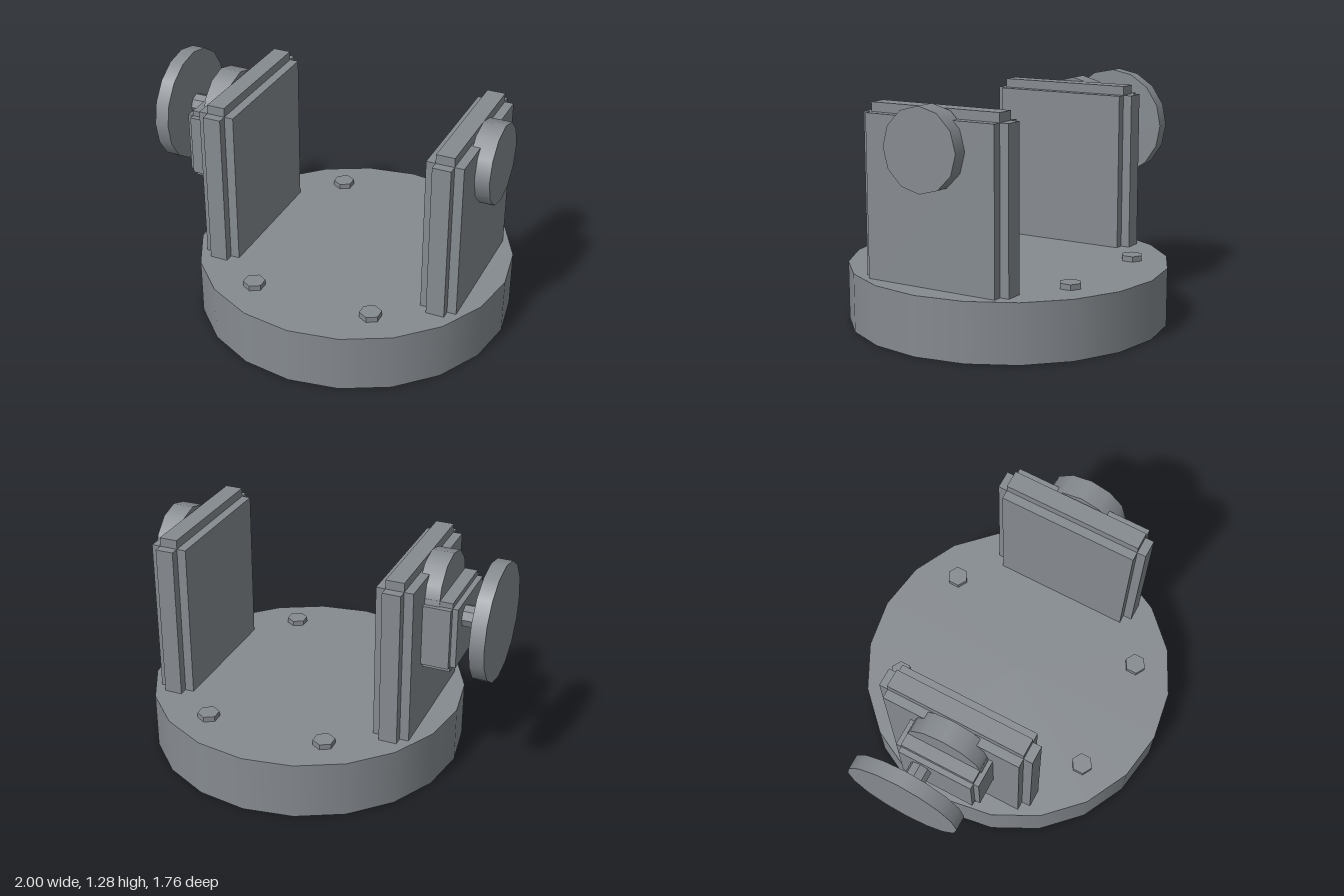
import * as THREE from 'three';

const material = new THREE.MeshStandardMaterial({ color: 0x868b90 });

function add(parent, name, geometry, x, y, z) {
  const mesh = new THREE.Mesh(geometry, material);
  mesh.name = name;
  mesh.position.set(x, y, z);
  parent.add(mesh);
  return mesh;
}

// Give every face its own normal, so the edges stay sharp
function faceted(geometry) {
  const flat = geometry.toNonIndexed();
  flat.computeVertexNormals();
  return flat;
}

// Cylinder lying along x, with one corner pointing straight up
function lyingCylinder(radius, length, sides) {
  return new THREE.CylinderGeometry(radius, radius, length, sides).rotateZ(Math.PI / 2);
}

// Block with stepped edges: three crossing boxes, each full size along one axis
function addSteppedBlock(parent, name, min, max, step) {
  const block = new THREE.Group();
  block.name = name;
  const size = max.map((v, i) => v - min[i]);
  const centre = max.map((v, i) => (v + min[i]) / 2);
  ['Width', 'Height', 'Depth'].forEach((label, axis) => {
    const s = size.map((v, i) => (i === axis ? v : v - 2 * step));
    add(block, name + label, new THREE.BoxGeometry(...s), ...centre);
  });
  parent.add(block);
}

export function createModel() {
  const model = new THREE.Group();
  model.name = 'trunnionMount';

  // Round base, set off-centre because of the handwheel
  add(model, 'base', new THREE.CylinderGeometry(0.88, 0.88, 0.32, 20), 0.12, 0.16, 0);

  // Hexagonal bolts
  for (const x of [-0.22, 0.46]) {
    for (const z of [-0.588, 0.588]) {
      add(model, 'bolt', faceted(new THREE.CylinderGeometry(0.06, 0.06, 0.07, 6)), x, 0.315, z);
    }
  }

  // Side supports with their bearing caps
  for (const side of [-1, 1]) {
    const x = 0.12 + side * 0.64;
    const name = side > 0 ? 'left' : 'right';
    addSteppedBlock(model, name + 'Support', [x - 0.1, 0.2, -0.44], [x + 0.1, 1.24, 0.44], 0.05);
    add(model, name + 'BearingCap', lyingCylinder(0.22, 0.12, 12), 0.12 + side * 0.76, 1.04, 0);
  }

  // Gearbox, shaft and handwheel on the right support
  addSteppedBlock(model, 'gearbox', [-0.8, 0.68, -0.24], [-0.5, 1.08, 0.24], 0.03);
  add(model, 'handwheelShaft', faceted(lyingCylinder(0.06, 0.16, 8)), -0.86, 0.96, -0.083);
  add(model, 'handwheel', lyingCylinder(0.32, 0.08, 16), -0.96, 0.96, -0.083);

  return model;
}
